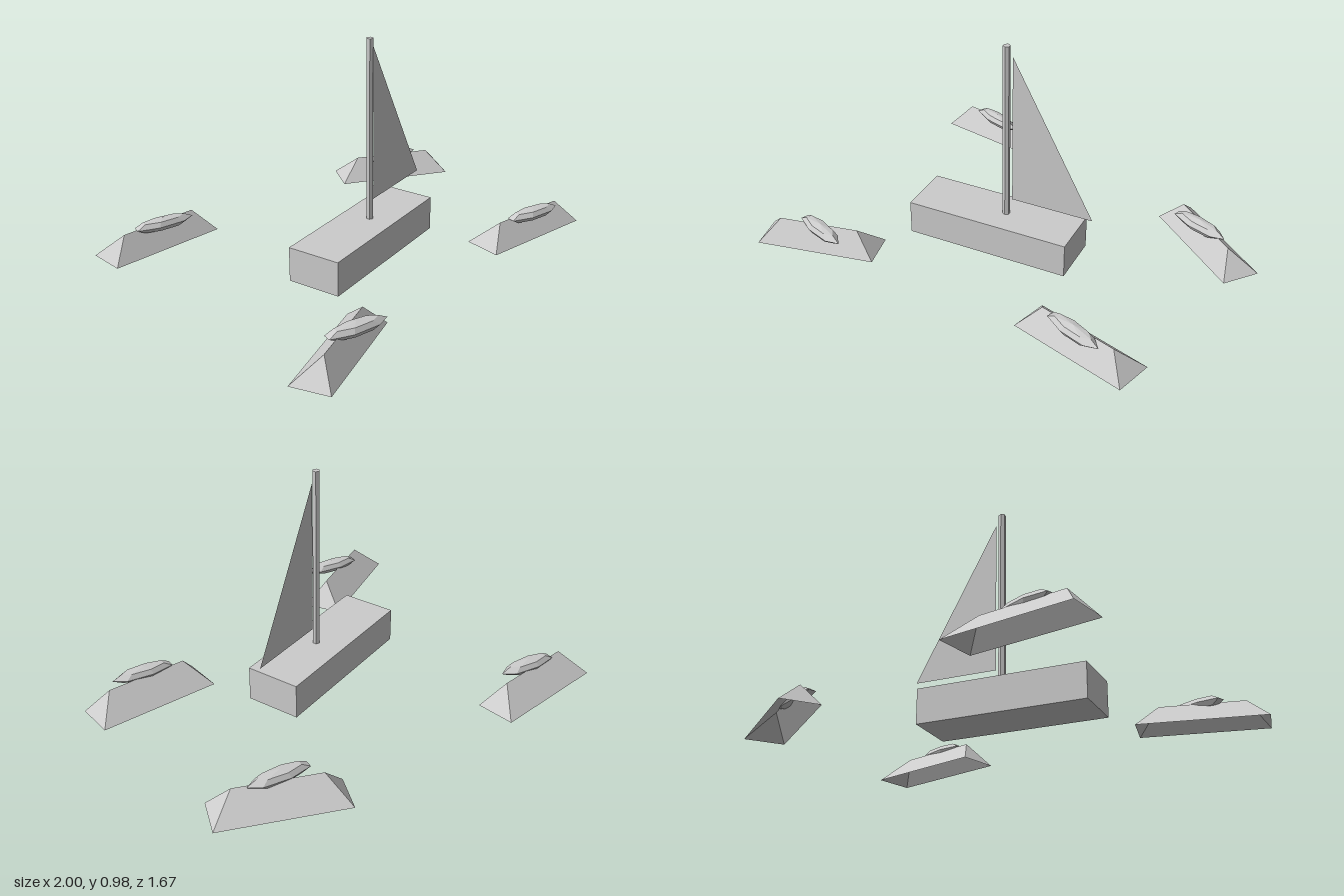
import * as THREE from 'three';

const grey = new THREE.MeshStandardMaterial({ color: 0xcccccc, flatShading: true, side: THREE.DoubleSide });
grey.name = 'plain grey';

function add(parent, name, geometry) {
  const mesh = new THREE.Mesh(geometry, grey);
  mesh.name = name;
  parent.add(mesh);
  return mesh;
}

// Hipped mound, open underneath, ridge set slightly towards its front
function moundGeometry() {
  const w = 0.27, d = 0.086, r = 0.18, h = 0.105, s = 0.018;
  const geometry = new THREE.BufferGeometry();
  geometry.setAttribute('position', new THREE.Float32BufferAttribute([
    -w, 0, -d, w, 0, -d, w, 0, d, -w, 0, d, -r, h, s, r, h, s,
  ], 3));
  geometry.setIndex([3, 2, 5, 3, 5, 4, 1, 0, 4, 1, 4, 5, 0, 3, 4, 2, 1, 5]);
  const flat = geometry.toNonIndexed();
  flat.computeVertexNormals();
  return flat;
}

function createBoat() {
  const boat = new THREE.Group();
  boat.name = 'boat';
  boat.rotation.y = 0.406;
  boat.position.set(-0.023, 0, 0.01);

  // Long block hull
  add(boat, 'hull', new THREE.BoxGeometry(0.746, 0.155, 0.244)).position.y = 0.0875;
  return boat;
}

function createRig() {
  const rig = new THREE.Group();
  rig.name = 'rig';
  rig.position.set(0.02, 0, -0.003);
  rig.rotation.y = 0.406;

  // Six-sided mast
  add(rig, 'mast', new THREE.CylinderGeometry(0.016, 0.016, 0.83, 6)).position.y = 0.565;

  // Flat triangular sail
  const outline = new THREE.Shape([
    new THREE.Vector2(0.028, 0.245),
    new THREE.Vector2(0.402, 0.245),
    new THREE.Vector2(0.028, 0.935),
  ]);
  add(rig, 'sail', new THREE.ShapeGeometry(outline));
  return rig;
}

export function createModel() {
  const model = new THREE.Group();
  model.name = 'sailing scene';
  model.add(createBoat(), createRig());

  // Mound centre x, z, turn, then rock centre x, z
  const mounds = [
    [-0.72, -0.607, 0.195, -0.705, -0.565],
    [0.603, -0.678, -0.3, 0.58, -0.64],
    [0.72, 0.22, 0.11, 0.725, 0.265],
    [-0.527, 0.612, 0.593, -0.475, 0.643],
  ];
  const mound = moundGeometry();
  const rock = new THREE.SphereGeometry(1, 7, 4).rotateY(Math.PI).scale(0.142, 0.029, 0.041);
  for (const [x, z, turn, rockX, rockZ] of mounds) {
    const base = add(model, 'mound', mound);
    base.position.set(x, 0, z);
    base.rotation.y = turn;
    add(model, 'rock', rock).position.set(rockX, 0.108, rockZ);
  }
  return model;
}
